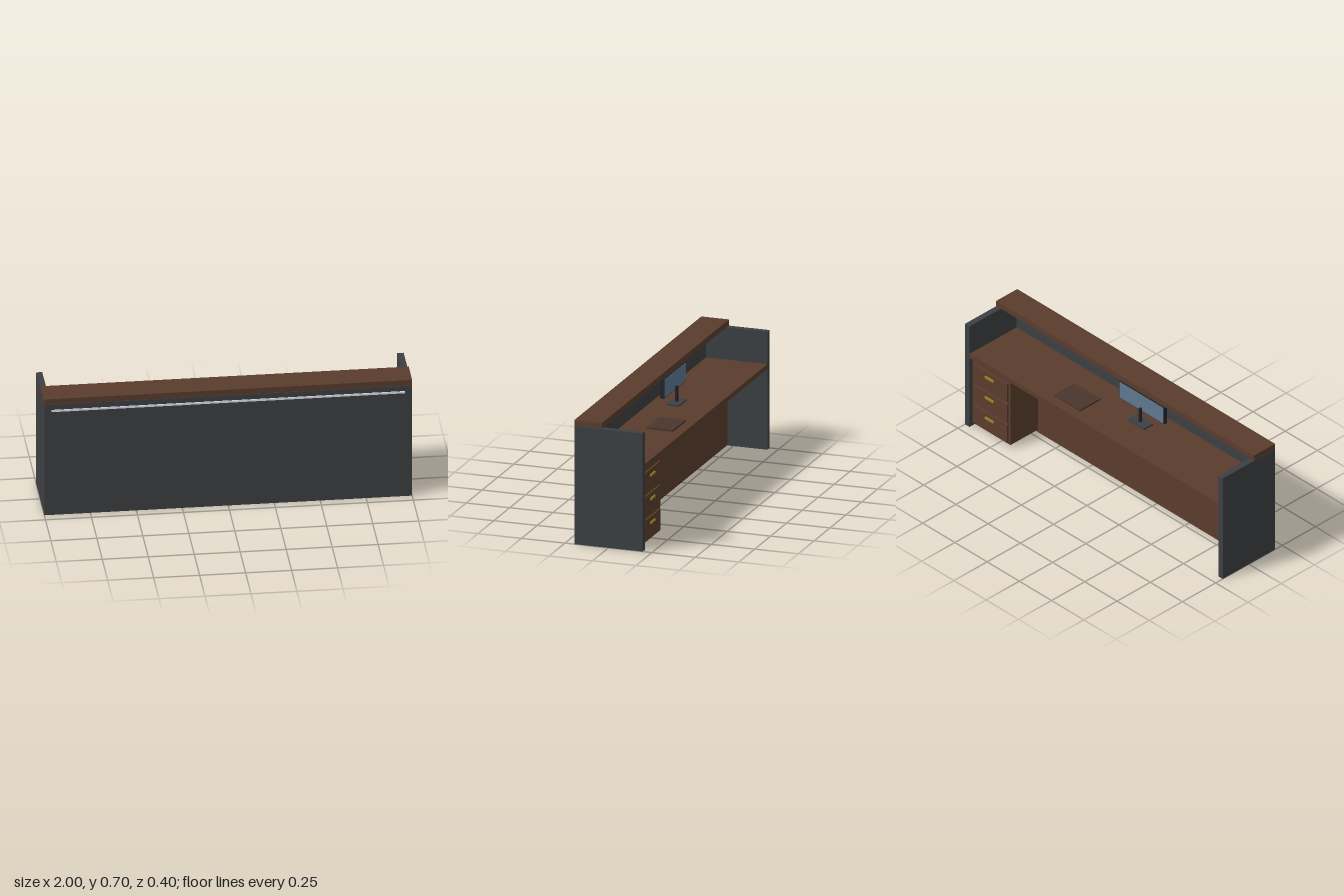
import * as THREE from 'three';

const material = (color) => new THREE.MeshStandardMaterial({ color });

export function createModel() {
  const model = new THREE.Group();
  model.name = 'receptionDesk';

  const wood = material(0x5a3d2d);
  const slate = material(0x3d4043);
  const black = material(0x222428);
  const brass = material(0x9a8020);

  // Box given by its extents along each axis
  const box = (name, mat, [x0, x1], [y0, y1], [z0, z1], parent = model) => {
    const mesh = new THREE.Mesh(new THREE.BoxGeometry(x1 - x0, y1 - y0, z1 - z0), mat);
    mesh.position.set((x0 + x1) / 2, (y0 + y1) / 2, (z0 + z1) / 2);
    mesh.name = name;
    parent.add(mesh);
    return mesh;
  };

  // Outer shell
  box('frontPanel', slate, [-1, 1], [0, 0.667], [0.157, 0.196]);
  box('leftSidePanel', slate, [0.965, 1], [0, 0.667], [-0.197, 0.157]);
  box('rightSidePanel', slate, [-1, -0.965], [0, 0.667], [-0.197, 0.157]);
  box('counterTop', wood, [-1, 1], [0.669, 0.702], [0.037, 0.196]);
  box('lightStrip', material(0xe6e8f5), [-0.96, 0.96], [0.625, 0.637], [0.196, 0.2]);

  // Work surface and the boxed-in body beneath it
  box('worktop', wood, [-0.965, 0.965], [0.457, 0.485], [-0.197, 0.157]);
  box('innerBody', wood, [-0.965, 0.965], [0.002, 0.457], [0.033, 0.157]);

  // Drawer pedestal
  const pedestal = new THREE.Group();
  pedestal.name = 'drawerPedestal';
  model.add(pedestal);
  box('pedestalBody', wood, [0.67, 0.965], [0.02, 0.457], [-0.175, 0.033], pedestal);
  for (let i = 0; i < 3; i++) {
    const y = 0.09 + i * 0.135;
    box('drawerFront', wood, [0.685, 0.953], [y - 0.06, y + 0.06], [-0.185, -0.175], pedestal);
    box('drawerHandle', brass, [0.785, 0.852], [y + 0.021, y + 0.033], [-0.194, -0.185], pedestal);
  }

  // Monitor on its stand, facing the seated side
  const monitor = new THREE.Group();
  monitor.name = 'monitor';
  model.add(monitor);
  box('monitorCase', black, [-0.31, 0.04], [0.558, 0.667], [0.031, 0.054], monitor);
  box('monitorScreen', material(0x5f7890), [-0.304, 0.034], [0.562, 0.664], [0.029, 0.031], monitor);
  box('monitorBase', slate, [-0.2, -0.07], [0.485, 0.495], [-0.015, 0.055], monitor);
  const pole = new THREE.Mesh(new THREE.CylinderGeometry(0.009, 0.009, 0.085, 16), black);
  pole.position.set(-0.135, 0.5375, 0.021);
  pole.name = 'monitorPole';
  monitor.add(pole);

  // Flat desk pad
  box('deskPad', material(0x4a352d), [0.165, 0.365], [0.485, 0.495], [-0.14, 0.012]);

  return model;
}
